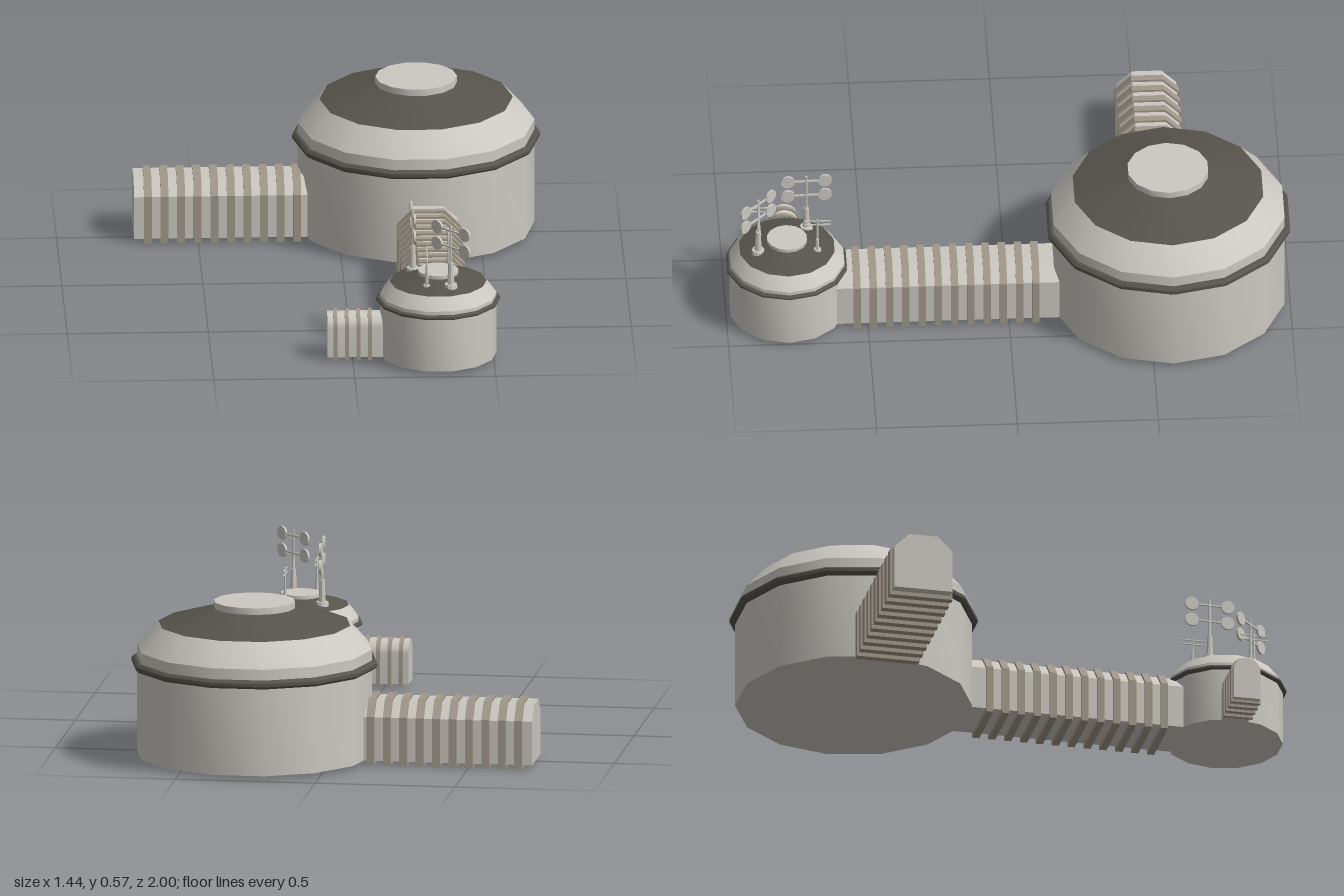
import * as THREE from 'three';
import { toCreasedNormals } from 'three/addons/utils/BufferGeometryUtils.js';

const light = new THREE.MeshStandardMaterial({ color: 0xccc9c2 });
const dark = new THREE.MeshStandardMaterial({ color: 0x57544d });
const tan = new THREE.MeshStandardMaterial({ color: 0xa1988a });
const SIDES = 14;

function part(name, geometry, material, parent) {
  const mesh = new THREE.Mesh(toCreasedNormals(geometry, 0.5), material);
  mesh.name = name;
  parent.add(mesh);
  return mesh;
}

// Revolved section from [radius, y] pairs, listed bottom to top
function lathe(points) {
  return new THREE.LatheGeometry(points.map(p => new THREE.Vector2(...p)), SIDES, Math.PI / 2);
}

// Round building: wall with sloped shoulder, dark roof, top cap and rim band
function dome(name, x, z, d) {
  const group = new THREE.Group();
  group.name = name;
  group.position.set(x, 0, z);
  part('wall', lathe([[0, 0.015], [d.wall, 0.015], [d.wall, d.eaveY], [d.roof, d.roofY]]), light, group);
  part('roof', lathe([[d.roof, d.roofY], [d.cap, d.capY]]), dark, group);
  part('cap', lathe([[d.cap, d.capY], [d.cap, d.topY], [0, d.topY]]), light, group);
  const inner = d.wall - 0.005, mid = (d.wall + d.rim) / 2, h = d.rimH / 2;
  part('rimBand', lathe([
    [inner, d.rimY - h], [mid, d.rimY - h], [d.rim, d.rimY - h * 0.4],
    [d.rim, d.rimY + h * 0.4], [mid, d.rimY + h], [inner, d.rimY + h],
  ]), dark, group);
  return group;
}

// Tunnel outline with chamfered roof corners
function chamferShape(half, bottom, side, top) {
  const s = new THREE.Shape();
  s.moveTo(-half, bottom);
  s.lineTo(half, bottom);
  s.lineTo(half, side);
  s.lineTo(half * 0.5, top);
  s.lineTo(-half * 0.5, top);
  s.lineTo(-half, side);
  s.closePath();
  return s;
}

// Tunnel outline with a round roof
function archShape(half, bottom, top) {
  const s = new THREE.Shape();
  s.moveTo(-half, bottom);
  s.lineTo(half, bottom);
  s.absarc(0, top - half, half, 0, Math.PI, false);
  s.closePath();
  return s;
}

// Ribbed corridor running along local +z
function tunnel(name, bodyShape, ribShape, length, ribs) {
  const group = new THREE.Group();
  group.name = name;
  const extrude = (shape, depth) =>
    new THREE.ExtrudeGeometry(shape, { depth, bevelEnabled: false, curveSegments: 8 });
  part('corridor', extrude(bodyShape, length), light, group);
  for (let i = 0; i < ribs.count; i++) {
    part('rib', extrude(ribShape, ribs.width), tan, group)
      .position.z = ribs.first + i * ribs.pitch - ribs.width / 2;
  }
  return group;
}

function rod(name, r0, r1, y0, y1, parent, sides = 8) {
  part(name, new THREE.CylinderGeometry(r1, r0, y1 - y0, sides), light, parent).position.y = (y0 + y1) / 2;
}

// Mast with two arms, each carrying a disc at both ends
function discAntenna(x, z, turn) {
  const group = new THREE.Group();
  group.name = 'discAntenna';
  group.position.set(x, 0, z);
  group.rotation.y = turn;
  rod('mastFoot', 0.026, 0.022, 0.285, 0.31, group, 10);
  rod('mastBase', 0.013, 0.009, 0.3, 0.39, group);
  rod('mast', 0.005, 0.004, 0.39, 0.53, group);
  for (const y of [0.447, 0.509]) {
    const arm = part('arm', new THREE.BoxGeometry(0.006, 0.006, 0.136), light, group);
    arm.position.y = y;
    for (const side of [-1, 1]) {
      const disc = part('disc', new THREE.CylinderGeometry(0.025, 0.025, 0.008, 14), light, group);
      disc.rotation.z = Math.PI / 2;
      disc.position.set(0, y, side * 0.066);
    }
  }
  return group;
}

// Thin mast with two crossbars
function barAntenna(x, z) {
  const group = new THREE.Group();
  group.name = 'barAntenna';
  group.position.set(x, 0, z);
  rod('mastFoot', 0.016, 0.013, 0.285, 0.305, group, 10);
  rod('mastBase', 0.007, 0.006, 0.3, 0.35, group);
  rod('mast', 0.004, 0.003, 0.35, 0.435, group);
  for (const y of [0.412, 0.428]) {
    part('crossbar', new THREE.BoxGeometry(0.004, 0.004, 0.096), light, group).position.y = y;
  }
  return group;
}

export function createModel() {
  const model = new THREE.Group();
  model.name = 'habitat';

  // Buildings
  model.add(dome('mainDome', 0.278, -0.57, {
    wall: 0.42, eaveY: 0.4, roof: 0.343, roofY: 0.485, cap: 0.145, capY: 0.543,
    topY: 0.567, rim: 0.44, rimY: 0.346, rimH: 0.03,
  }));
  model.add(dome('smallDome', 0.304, 0.783, {
    wall: 0.207, eaveY: 0.24, roof: 0.172, roofY: 0.285, cap: 0.072, capY: 0.314,
    topY: 0.327, rim: 0.22, rimY: 0.219, rimH: 0.016,
  }));

  // Large corridors: one out to the side, one joining the two buildings
  const body = chamferShape(0.106, 0.015, 0.172, 0.225);
  const rib = chamferShape(0.114, 0, 0.175, 0.233);
  const side = tunnel('sideTunnel', body, rib, 0.65, { count: 10, first: 0.049, pitch: 0.0588, width: 0.028 });
  side.rotation.y = Math.PI / 2;
  side.position.set(-0.727, 0, -0.543);
  model.add(side);
  const link = tunnel('linkTunnel', body, rib, 0.82, { count: 12, first: 0.105, pitch: 0.0577, width: 0.026 });
  link.position.set(0.304, 0, -0.2);
  model.add(link);

  // Small round-topped entrance corridor
  const entry = tunnel('entryTunnel', archShape(0.048, 0.015, 0.172), archShape(0.054, 0.006, 0.18), 0.24,
    { count: 4, first: 0.028, pitch: 0.0408, width: 0.014 });
  entry.rotation.y = Math.PI / 2;
  entry.position.set(-0.09, 0, 0.776);
  model.add(entry);

  // Roof antennas
  model.add(discAntenna(0.217, 0.71, 0.05), discAntenna(0.345, 0.887, Math.PI / 4));
  model.add(barAntenna(0.345, 0.677), barAntenna(0.26, 0.88));
  return model;
}
